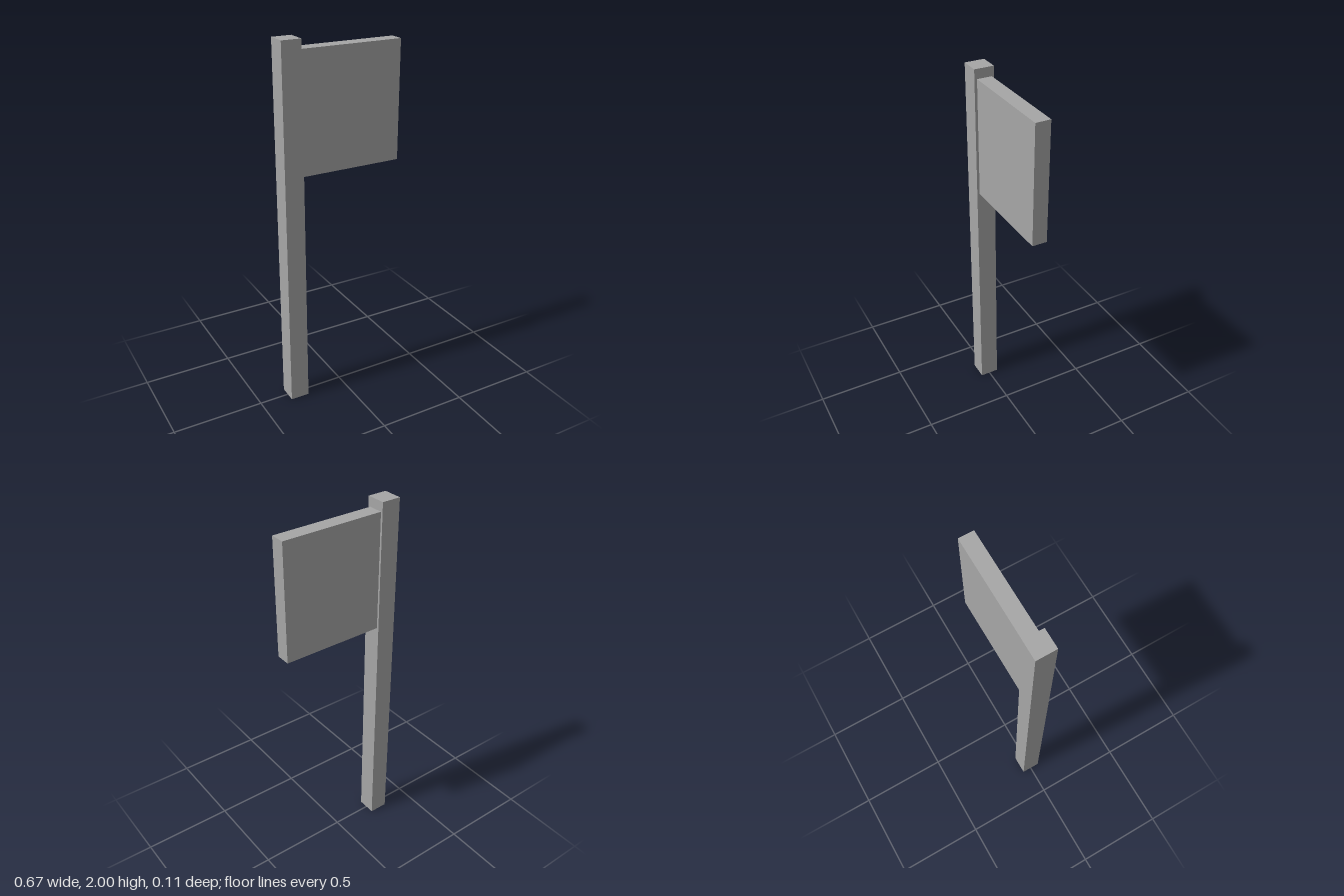
import * as THREE from 'three';

export function createModel() {
  const group = new THREE.Group();
  const grey = new THREE.MeshStandardMaterial({ color: 0xa6a6a6 });
  grey.name = 'grey';

  // Box given by its minimum and maximum corners
  const addBox = (name, min, max) => {
    const [w, h, d] = max.map((v, i) => v - min[i]);
    const mesh = new THREE.Mesh(new THREE.BoxGeometry(w, h, d), grey);
    mesh.position.set(...max.map((v, i) => (v + min[i]) / 2));
    mesh.name = name;
    group.add(mesh);
  };

  // Square upright post
  addBox('post', [-0.333, 0, -0.053], [-0.228, 2, 0.053]);
  // Sign board fixed to the side of the post
  addBox('signBoard', [-0.228, 1.312, -0.041], [0.333, 1.949, 0.039]);

  return group;
}
